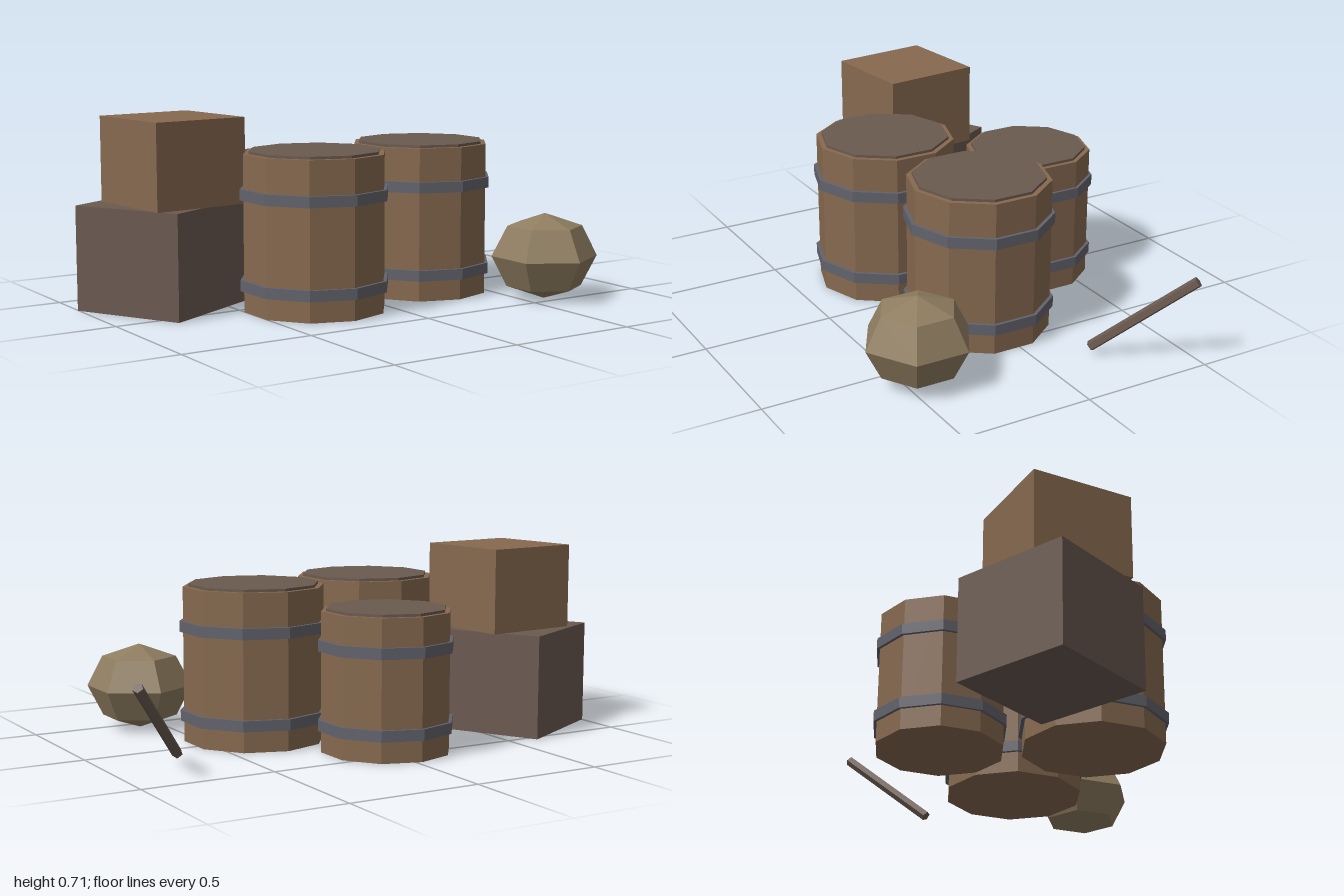
import * as THREE from 'three';

const material = (color) => new THREE.MeshStandardMaterial({ color, flatShading: true });
const wood = material(0x86694f);
const darkWood = material(0x6b5a50);
const iron = material(0x62626c);
const sackcloth = material(0x8f7d60);

function addMesh(parent, name, geometry, mat, x, y, z) {
  const mesh = new THREE.Mesh(geometry, mat);
  mesh.name = name;
  mesh.position.set(x, y, z);
  parent.add(mesh);
  return mesh;
}

// Ten-sided barrel: staves, a slightly raised lid and two hoops
function makeBarrel(name, x, z, radius, height, hoopHeights) {
  const barrel = new THREE.Group();
  barrel.name = name;
  barrel.position.set(x, 0, z);
  const drum = (part, r, h, y, mat) =>
    addMesh(barrel, part, new THREE.CylinderGeometry(r, r, h, 10), mat, 0, y, 0);
  drum('staves', radius, height, height / 2, wood);
  drum('lid', radius * 0.925, 0.02, height, darkWood);
  hoopHeights.forEach((y, i) => drum(i ? 'upperHoop' : 'lowerHoop', radius * 1.05, 0.041, y, iron));
  return barrel;
}

export function createModel() {
  const model = new THREE.Group();
  model.name = 'barrelsAndCrates';

  // Barrels
  model.add(
    makeBarrel('frontBarrel', -0.246, 0.123, 0.269, 0.585, [0.1, 0.437]),
    makeBarrel('sideBarrel', 0.302, 0.026, 0.267, 0.585, [0.1, 0.437]),
    makeBarrel('backBarrel', -0.021, -0.393, 0.242, 0.518, [0.1, 0.393])
  );

  // Stacked crates, each turned a little
  addMesh(model, 'lowerCrate', new THREE.BoxGeometry(0.45, 0.393, 0.45), darkWood,
    -0.698, 0.1965, -0.232).rotation.y = 0.5;
  addMesh(model, 'upperCrate', new THREE.BoxGeometry(0.383, 0.321, 0.385), wood,
    -0.666, 0.5535, -0.198).rotation.y = 0.105;

  // Squashed sack
  const sack = addMesh(model, 'sack', new THREE.SphereGeometry(0.204, 6, 4), sackcloth,
    0.591, 0.165, 0.444);
  sack.scale.y = 0.81;
  sack.rotation.y = Math.PI / 2;

  // Leaning pole
  const foot = new THREE.Vector3(0.725, 0.03, -0.193);
  const tip = new THREE.Vector3(0.986, 0.331, -0.457);
  const along = tip.clone().sub(foot);
  const middle = foot.clone().add(tip).multiplyScalar(0.5);
  const pole = addMesh(model, 'pole', new THREE.CylinderGeometry(0.02, 0.02, along.length(), 5),
    darkWood, middle.x, middle.y, middle.z);
  pole.quaternion.setFromUnitVectors(new THREE.Vector3(0, 1, 0), along.normalize());

  return model;
}
